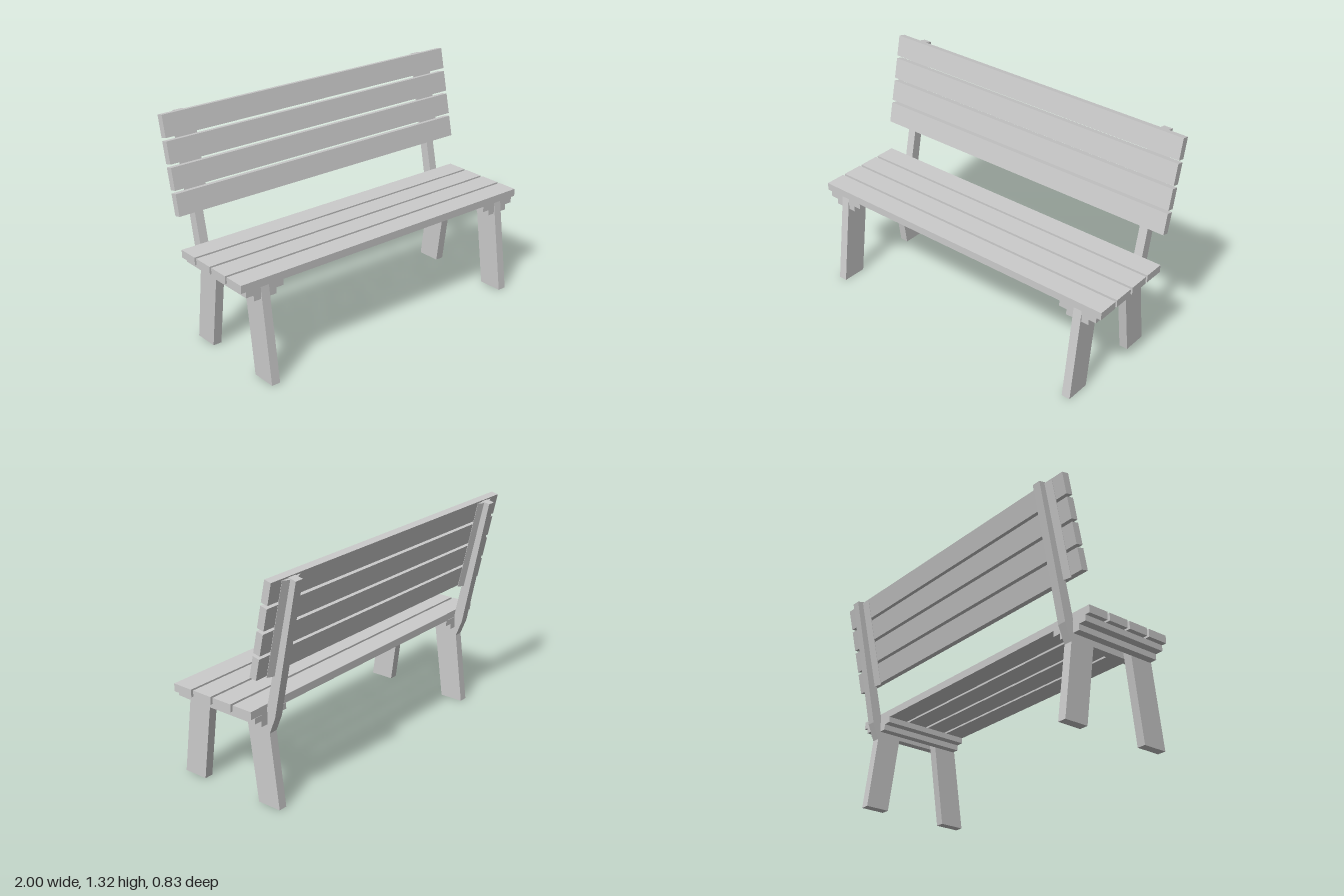
import * as THREE from 'three';

const material = new THREE.MeshStandardMaterial({ color: 0xcccccc, flatShading: true });

function add(parent, name, geometry, x = 0, y = 0, z = 0) {
  const mesh = new THREE.Mesh(geometry, material);
  mesh.name = name;
  mesh.position.set(x, y, z);
  parent.add(mesh);
  return mesh;
}

const shapeOf = (points) => new THREE.Shape(points.map(([a, b]) => new THREE.Vector2(a, b)));

// Side profile given as [z, y], extruded to a board centred across x
function sideBoard(points, width) {
  return new THREE.ExtrudeGeometry(shapeOf(points), { depth: width, bevelEnabled: false })
    .translate(0, 0, -width / 2)
    .rotateY(-Math.PI / 2);
}

export function createModel() {
  const bench = new THREE.Group();
  bench.name = 'bench';
  const frameX = 0.853;
  const boardWidth = 0.052;

  // Seat planks
  for (let i = 0; i < 4; i++) {
    add(bench, 'seatSlat', new THREE.BoxGeometry(2, 0.045, 0.126), 0, 0.5725, 0.281 - i * 0.1417);
  }

  // Leaning backrest, local origin at the lower front edge
  const back = new THREE.Group();
  back.name = 'backrest';
  back.position.set(0, 0.787, -0.207);
  back.rotation.x = -0.213;
  bench.add(back);
  for (let i = 0; i < 4; i++) {
    add(back, 'backSlat', new THREE.BoxGeometry(2, 0.124, 0.043), 0, 0.062 + i * 0.142, -0.0215);
  }

  const frontLeg = sideBoard([[0.418, 0], [0.343, 0.55], [0.195, 0.55], [0.269, 0]], boardWidth);
  const rearLeg = sideBoard([
    [-0.131, 0], [-0.055, 0.55], [-0.202, 0.55], [-0.367, 1.311],
    [-0.415, 1.301], [-0.26, 0.53], [-0.221, 0.432], [-0.277, 0],
  ], boardWidth);

  // Bevelled mounting strip between the post and the back slats
  const strip = new THREE.ExtrudeGeometry(
    shapeOf([[-0.068, -0.042], [-0.068, -0.045], [-0.026, -0.06], [0.026, -0.06], [0.068, -0.045], [0.068, -0.042]]),
    { depth: 0.55, bevelEnabled: false },
  ).rotateX(Math.PI / 2);

  for (const side of [-1, 1]) {
    const x = side * frameX;
    add(bench, 'frontLeg', frontLeg, x);
    add(bench, 'rearLegAndPost', rearLeg, x);
    add(back, 'mountingStrip', strip, x, 0.54, 0);

    // Stepped rails clamping the legs from both faces
    for (const face of [-1, 1]) {
      const rail = (name, reach, y) => add(
        bench, name, new THREE.BoxGeometry(reach, 0.034, 0.552),
        x + face * (boardWidth / 2 + reach / 2), y, 0.068);
      rail('upperSeatRail', 0.092, 0.533);
      rail('lowerSeatRail', 0.045, 0.499);
    }
  }
  return bench;
}
